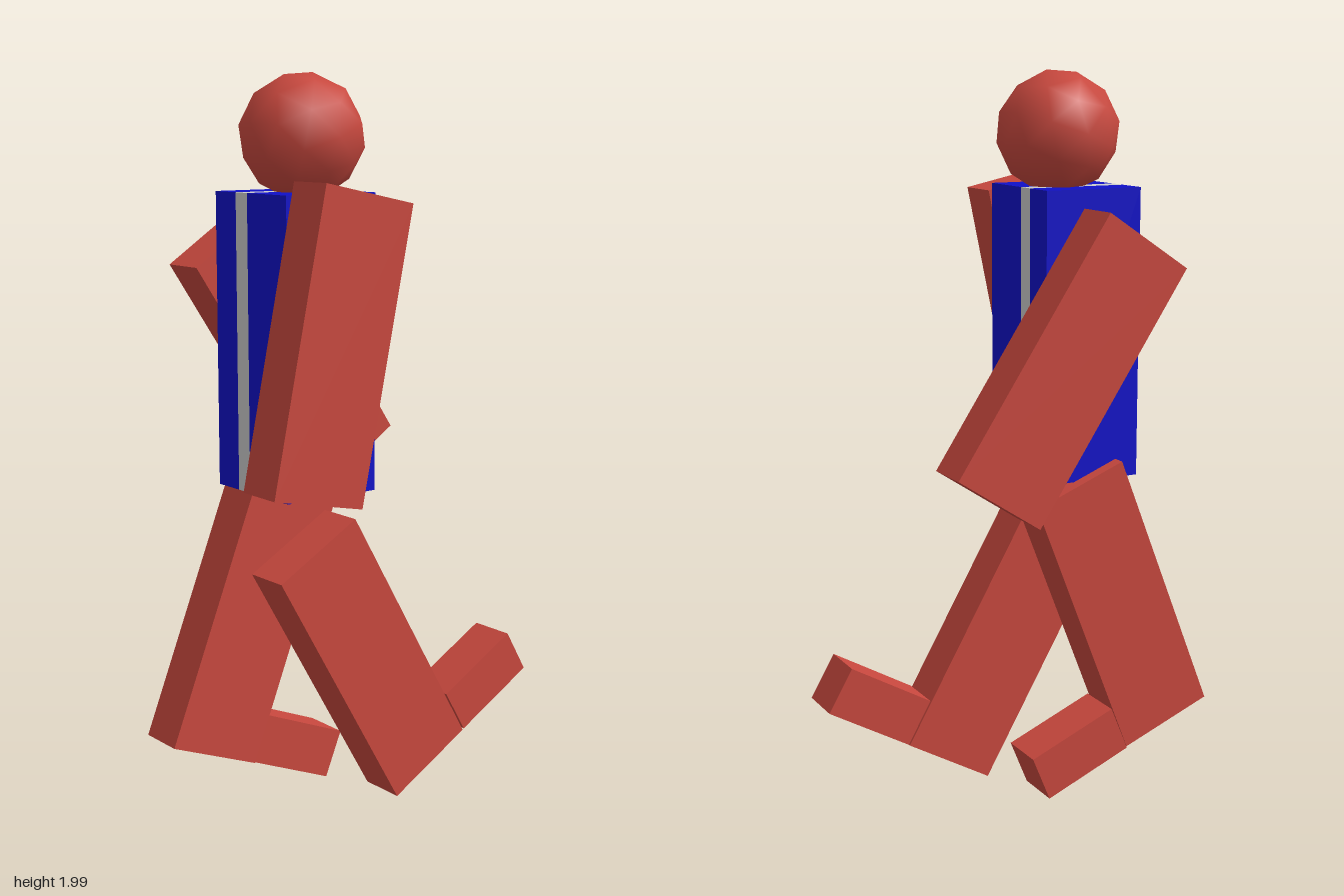
import * as THREE from 'three';

const RED = 0xc8483e, BLUE = 0x1010c8, GREY = 0xcccccc;

export function createModel() {
  const model = new THREE.Group();
  model.name = 'walkingFigure';
  const red = new THREE.MeshStandardMaterial({ color: RED });
  const blue = new THREE.MeshStandardMaterial({ color: BLUE });
  const grey = new THREE.MeshStandardMaterial({ color: GREY });

  const add = (name, geometry, material, [x, y, z], degrees = 0) => {
    const mesh = new THREE.Mesh(geometry, material);
    mesh.name = name;
    mesh.position.set(x, y, z);
    mesh.rotation.z = THREE.MathUtils.degToRad(degrees);
    model.add(mesh);
  };

  // Torso: two blue slabs with a grey band between them
  const slab = (name, material, z0, z1) =>
    add(name, new THREE.BoxGeometry(0.285, 0.79, z1 - z0), material, [-0.172, 1.295, (z0 + z1) / 2]);
  slab('torsoFront', blue, -0.01, 0.162);
  slab('torsoBand', grey, -0.062, -0.01);
  slab('torsoBack', blue, -0.155, -0.062);

  // Head: faceted ball with smooth shading
  add('head', new THREE.IcosahedronGeometry(0.168, 1), red, [-0.147, 1.832, 0.002], -12);

  // Arms and legs share one block, swung about z
  const limb = new THREE.BoxGeometry(0.281, 0.787, 0.134);
  add('frontArm', limb, red, [-0.248, 1.312, 0.249], -11.9);
  add('backArm', limb, red, [-0.025, 1.237, -0.252], 33.5);
  add('frontLeg', limb, red, [-0.019, 0.418, 0.095], 30);
  add('backLeg', limb, red, [-0.261, 0.534, -0.125], -21.6);

  // Feet follow the angle of their legs
  const foot = new THREE.BoxGeometry(0.27, 0.136, 0.135);
  add('frontFoot', foot, red, [0.386, 0.277, 0.095], 30);
  add('backFoot', foot, red, [-0.121, 0.127, -0.132], -22.5);

  return model;
}
